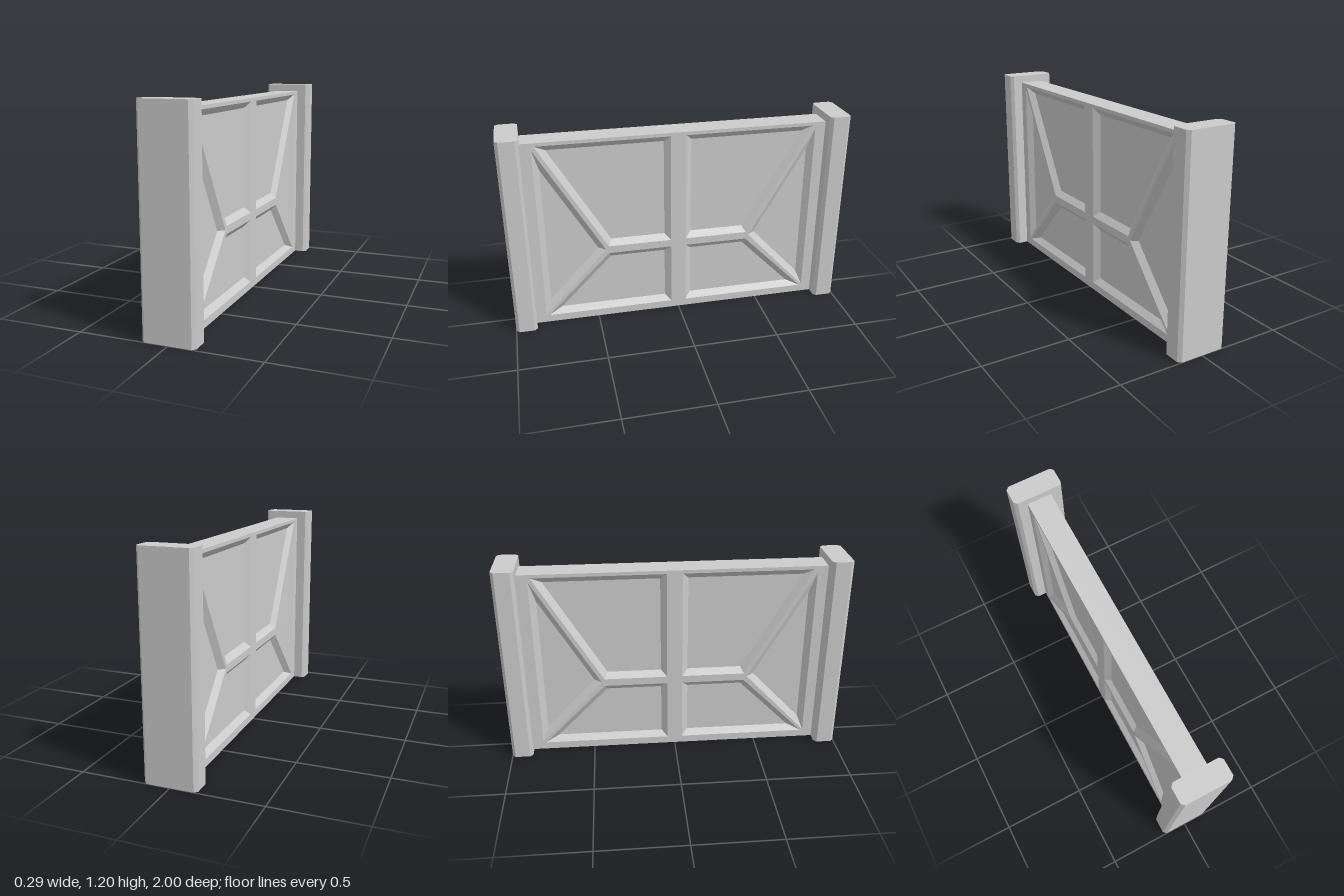
import * as THREE from 'three';

const HALF_THICK = 0.072, DEPTH = 0.03, BEVEL = 0.035;
const PANEL_HALF = 0.88, PANEL_TOP = 1.15, POST_TOP = 1.195;

const material = new THREE.MeshStandardMaterial({ color: 0xcccccc, flatShading: true });
const points = (list) => list.map(([x, y]) => new THREE.Vector2(x, y));

// Moves every edge of a counter-clockwise loop inwards by d, with mitred corners
function inset(loop, d) {
  const n = loop.length;
  return loop.map((p, i) => {
    const u = p.clone().sub(loop[(i + n - 1) % n]).normalize();
    const v = loop[(i + 1) % n].clone().sub(p).normalize();
    const k = d / u.cross(v);
    return p.clone().addScaledVector(v, k).addScaledVector(u, -k);
  });
}

// Joins two counter-clockwise loops at heights za and zb with a band of quads
function band(a, za, b, zb) {
  const pos = [];
  a.forEach((p, i) => {
    const j = (i + 1) % a.length;
    const A = [p.x, p.y, za], B = [a[j].x, a[j].y, za];
    const C = [b[j].x, b[j].y, zb], D = [b[i].x, b[i].y, zb];
    pos.push(...A, ...B, ...C, ...A, ...C, ...D);
  });
  const g = new THREE.BufferGeometry();
  g.setAttribute('position', new THREE.Float32BufferAttribute(pos, 3));
  g.computeVertexNormals();
  return g;
}

function add(parent, geometry, name) {
  const mesh = new THREE.Mesh(geometry, material);
  mesh.name = name;
  parent.add(mesh);
  return mesh;
}

// Recess outlines on one half of the panel, mirrored onto the other half
const halfOpenings = {
  upperRecess: points([[0.045, 0.475], [0.42, 0.475], [0.8, 1.13], [0.045, 1.13]]),
  lowerRecess: points([[0.045, 0.045], [0.8, 0.045], [0.42, 0.43], [0.045, 0.43]]),
  sideRecess: points([[0.815, 0.05], [0.815, 1.11], [0.437, 0.455]]),
};
const openings = Object.entries(halfOpenings).flatMap(([name, loop]) => [
  { name, loop },
  { name, loop: loop.map((p) => new THREE.Vector2(-p.x, p.y)).reverse() },
]);
const outline = points([
  [-PANEL_HALF, 0], [PANEL_HALF, 0], [PANEL_HALF, PANEL_TOP], [-PANEL_HALF, PANEL_TOP],
]);

// One decorated side of the panel: flat bars around bevelled recesses
function panelSide() {
  const side = new THREE.Group();
  side.name = 'panelSide';
  const face = new THREE.Shape(outline);
  for (const { name, loop } of openings) {
    face.holes.push(new THREE.Path(loop));
    const inner = inset(loop, BEVEL);
    const floor = HALF_THICK - DEPTH;
    add(side, band(loop, HALF_THICK, inner, floor), name + 'Bevel');
    add(side, new THREE.ShapeGeometry(new THREE.Shape(inner)), name + 'Floor').position.z = floor;
  }
  add(side, new THREE.ShapeGeometry(face), 'panelBars').position.z = HALF_THICK;
  return side;
}

// Upright end post with chamfered vertical edges
function post() {
  const w = 0.147, d = 0.0625, c = 0.018;
  const plan = new THREE.Shape(points([
    [-w + c, -d], [w - c, -d], [w, -d + c], [w, d - c],
    [w - c, d], [-w + c, d], [-w, d - c], [-w, -d + c],
  ]));
  const g = new THREE.ExtrudeGeometry(plan, { depth: POST_TOP, bevelEnabled: false });
  return g.rotateX(-Math.PI / 2);
}

export function createModel() {
  const model = new THREE.Group();
  model.name = 'barrier';

  // Panel: two decorated sides closed by a rim
  const panel = new THREE.Group();
  panel.name = 'panel';
  for (const s of [1, -1]) {
    const side = panelSide();
    side.rotation.y = s * Math.PI / 2;
    panel.add(side);
  }
  add(panel, band(outline, -HALF_THICK, outline, HALF_THICK), 'panelRim').rotation.y = Math.PI / 2;
  model.add(panel);

  // End posts
  const postGeometry = post();
  for (const s of [1, -1]) {
    add(model, postGeometry, s > 0 ? 'frontPost' : 'backPost').position.z = s * 0.9375;
  }
  return model;
}
